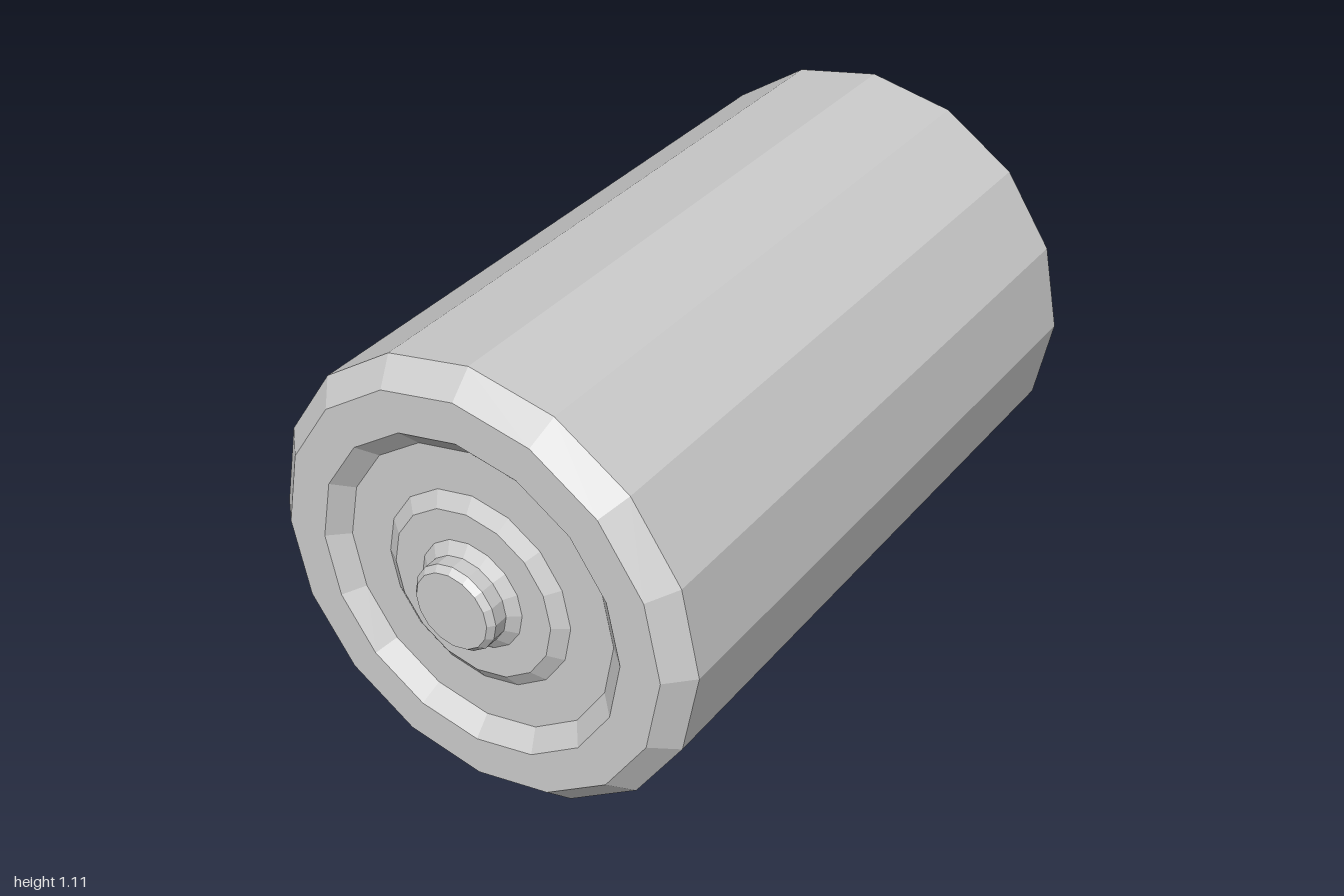
import * as THREE from 'three';

const SIDES = 16;

// Turned low-poly part; profile is [radius, height along the axis], bottom to top.
function turned(name, profile) {
  const points = profile.map(([r, s]) => new THREE.Vector2(r, s));
  const geometry = new THREE.LatheGeometry(points, SIDES).toNonIndexed();
  geometry.computeVertexNormals();
  const material = new THREE.MeshStandardMaterial({ color: 0xcccccc, flatShading: true });
  const mesh = new THREE.Mesh(geometry, material);
  mesh.name = name;
  return mesh;
}

export function createModel() {
  const battery = new THREE.Group();
  battery.name = 'battery';

  // Raised button end, set in a shallow recess
  battery.add(turned('positiveTerminal', [
    [0, -0.93], [0.095, -0.93], [0.108, -0.915], [0.108, -0.88],
    [0.135, -0.86], [0.21, -0.86], [0.245, -0.837], [0.355, -0.837],
  ]));

  // Casing with bevelled rims at both ends
  battery.add(turned('casing', [
    [0.355, -0.837], [0.4, -0.878], [0.5, -0.878], [0.557, -0.821],
    [0.557, 0.821], [0.5, 0.878], [0.475, 0.878], [0.437, 0.83],
  ]));

  // Flat end plate inside a ring groove
  battery.add(turned('negativeTerminal', [
    [0.437, 0.83], [0.402, 0.83], [0.365, 0.876], [0, 0.876],
  ]));

  // Lay the battery on its side and turn it
  battery.rotation.set(0, THREE.MathUtils.degToRad(21.1), -Math.PI / 2, 'YXZ');
  battery.position.y = 0.557;

  const model = new THREE.Group();
  model.name = 'model';
  model.add(battery);
  return model;
}
